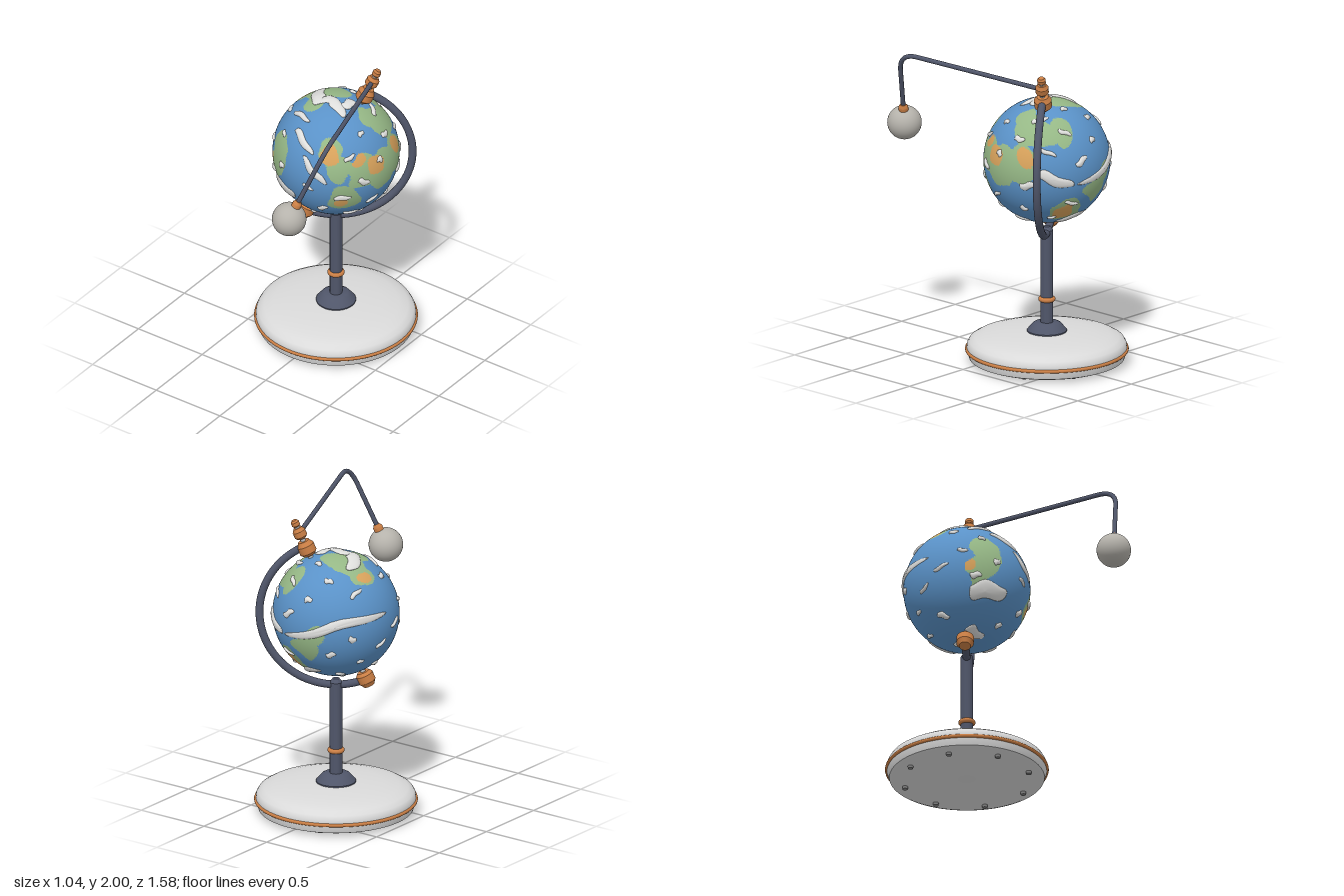
import * as THREE from 'three';
import { toCreasedNormals } from 'three/addons/utils/BufferGeometryUtils.js';

const mat = (name, color) => {
  const m = new THREE.MeshStandardMaterial({ color });
  m.name = name;
  return m;
};
const M = {
  ocean: mat('ocean blue', 0x5a92c8), land: mat('land green', 0x96b886), desert: mat('desert ochre', 0xd9a35c),
  cloud: mat('cloud white', 0xdededc), copper: mat('copper', 0xcb7f45), metal: mat('slate metal', 0x50566a),
  base: mat('base white', 0xdadada), moon: mat('moon grey', 0xb6b3ac), steel: mat('steel', 0xb9bcc0),
  foot: mat('foot grey', 0x808080),
};
const R = 0.405, CENTRE_Y = 1.345, CENTRE_Z = -0.265;
const V = (x = 0, y = 0, z = 0) => new THREE.Vector3(x, y, z);

function add(parent, name, geometry, material, x = 0, y = 0, z = 0) {
  const mesh = new THREE.Mesh(geometry, material);
  mesh.name = name;
  mesh.position.set(x, y, z);
  parent.add(mesh);
  return mesh;
}
const lathe = (points, segments = 48) => toCreasedNormals(
  new THREE.LatheGeometry(points.map(p => new THREE.Vector2(...p)), segments), 0.6);

// Turned knob with bevelled ends, centred on its own origin
const knob = (r, h) => lathe([[0, -h / 2], [r * 0.7, -h / 2], [r, -h * 0.3], [r, h * 0.2],
  [r * 0.72, h * 0.42], [r * 0.66, h / 2], [0, h / 2]], 28);

// Directions on the globe: [a, b] is an offset right and up on the disc facing outwards on one side
const S = Math.SQRT1_2;
const SIDES = {
  front: [V(1, 0, 0), V(0, 1, 0)],
  east: [V(0, 0, -1), V(0, 1, 0)],
  top: [V(1, 0, 0), V(0, 0, -1)],
  rear: [V(-S, 0, S), V(0.3, 0.906, 0.3)],
  under: [V(-S, 0, -S), V(0.3, 0.906, -0.3)],
};
function dir(side, a, b) {
  const [r, u] = SIDES[side];
  const c = r.clone().cross(u);
  return V().addScaledVector(r, a).addScaledVector(u, b)
    .addScaledVector(c, Math.sqrt(Math.max(0, 1 - a * a - b * b))).normalize();
}

// Round patches: side, a, b, angular radius
const LAND = [
  ['front', -0.52, 0.28, 0.28], ['front', -0.6, 0, 0.24], ['front', -0.62, -0.25, 0.13],
  ['front', 0.42, 0.55, 0.2], ['front', 0.62, 0.3, 0.22], ['front', 0.65, -0.3, 0.26],
  ['east', -0.45, 0.18, 0.3], ['east', -0.1, 0.08, 0.34], ['east', 0.35, 0.15, 0.32],
  ['east', 0.3, 0.7, 0.28], ['east', 0.05, 0.84, 0.16],
  ['top', -0.35, 0.1, 0.28], ['top', -0.08, 0.2, 0.2], ['top', -0.25, -0.2, 0.2], ['top', -0.6, 0.12, 0.2],
  ['top', 0.35, 0.65, 0.22], ['top', 0.6, 0.55, 0.18],
  ['rear', -0.6, -0.6, 0.22], ['under', 0.28, -0.28, 0.28], ['under', 0.88, 0.15, 0.16],
];
const DESERT = [
  ['front', -0.74, 0.02, 0.09], ['front', 0.42, 0.5, 0.14], ['east', -0.5, 0.37, 0.13], ['east', -0.24, 0.24, 0.15],
  ['east', 0.38, 0.28, 0.15], ['east', -0.72, -0.36, 0.11], ['top', -0.64, 0.13, 0.09], ['under', 0.24, -0.32, 0.18],
];
const patches = list => list.map(([s, a, b, r]) => [dir(s, a, b), r]);
const inside = (list, p, wobble) => list.some(([d, r]) => d.angleTo(p) < r + wobble);

// Globe sphere whose faces are sorted into ocean, land and desert groups
function globeGeometry() {
  const geo = new THREE.SphereGeometry(R, 224, 140);
  const pos = geo.attributes.position, index = geo.index.array;
  const land = patches(LAND), desert = patches(DESERT), sets = [[], [], []];
  const p = V(), q = V();
  for (let i = 0; i < index.length; i += 3) {
    p.set(0, 0, 0);
    for (let k = 0; k < 3; k++) p.add(q.fromBufferAttribute(pos, index[i + k]));
    p.normalize();
    const w = 0.035 * (Math.sin(13 * p.x + 5 * p.y) + Math.sin(15 * p.y - 6 * p.z) * Math.cos(14 * p.z + 4 * p.x));
    const kind = !inside(land, p, w) ? 0 : inside(desert, p, w) ? 2 : 1;
    sets[kind].push(index[i], index[i + 1], index[i + 2]);
  }
  geo.setIndex(sets.flat());
  let start = 0;
  sets.forEach((s, k) => { geo.addGroup(start, s.length, k); start += s.length; });
  return geo;
}

// Large clouds: side, half width, then spine points
const CLOUD_BANKS = [
  ['front', 0.045, [-0.49, 0.77], [-0.1, 0.82]], ['front', 0.06, [-0.27, 0.68], [0.18, 0.47]],
  ['front', 0.06, [0.02, 0.42], [0.25, 0.2], [0.46, 0.03]], ['front', 0.15, [-0.68, -0.42], [-0.14, -0.36]],
  ['front', 0.1, [-0.38, -0.87], [-0.03, -0.94]], ['east', 0.06, [0.3, -0.18], [0.54, -0.12]],
  ['top', 0.12, [-0.42, 0.26], [-0.3, -0.1], [-0.12, -0.2]], ['top', 0.1, [-0.22, -0.2], [0, -0.08], [0.34, -0.26]],
  ['top', 0.09, [0.27, 0.14], [0.18, -0.13]],
  ['rear', 0.08, [-0.88, -0.33], [-0.4, -0.38], [0.05, -0.27], [0.7, -0.1]],
  ['under', 0.09, [-0.18, 0.47], [0.4, 0.24]], ['under', 0.08, [0.12, -0.64], [0.32, -0.52], [0.58, -0.54]],
];

// Every cloud as a spine and half width: the large ones, then small streaks on a spiral over the free areas
function cloudSpines() {
  const spines = CLOUD_BANKS.map(([side, width, ...pts]) => ({ width, pts: pts.map(([a, b]) => dir(side, a, b)) }));
  const banks = spines.flatMap(s => new THREE.CatmullRomCurve3(s.pts).getPoints(6));
  const count = 60;
  for (let i = 0; i < count; i++) {
    const y = 1 - (2 * i + 1) / count, ring = Math.sqrt(1 - y * y), turn = i * 2.4;
    const p = V(ring * Math.cos(turn), y, ring * Math.sin(turn));
    if (banks.some(b => b.angleTo(p) < 0.24)) continue;
    const east = V(p.z, 0, -p.x).normalize(), north = p.clone().cross(east);
    const half = 0.1 + 0.04 * Math.sin(i * 5.3), tilt = 0.55 * Math.sin(i * 1.7);
    const step = east.multiplyScalar(half * Math.cos(tilt)).addScaledVector(north, half * Math.sin(tilt));
    spines.push({ width: 0.042 + 0.01 * Math.sin(i * 3.1), pts: [p.clone().sub(step), p.clone().add(step)] });
  }
  return spines;
}

// Flattened ellipsoid bent along a spine on the globe, with a wavy outline
function cloudGeometry({ width, pts }, seed) {
  const curve = new THREE.CatmullRomCurve3(pts);
  const geo = new THREE.SphereGeometry(1, 28, 10);
  const pos = geo.attributes.position, v = V();
  for (let i = 0; i < pos.count; i++) {
    v.fromBufferAttribute(pos, i);
    const t = THREE.MathUtils.clamp((v.x + 1) / 2, 0, 1);
    const p = curve.getPoint(t).normalize();
    const across = curve.getTangent(t).cross(p).normalize();
    const w = width * (1 + 0.3 * Math.sin(9 * t + seed * 2.1) * Math.sign(v.z));
    p.addScaledVector(across, v.z * w).normalize().multiplyScalar(R + 0.013 * v.y);
    pos.setXYZ(i, p.x, p.y, p.z);
  }
  geo.computeVertexNormals();
  return geo;
}

export function createModel() {
  const model = new THREE.Group();
  model.name = 'deskGlobe';
  const stand = new THREE.Group();
  stand.name = 'stand';
  stand.position.z = CENTRE_Z;
  model.add(stand);

  // Round base, trim and feet
  add(stand, 'base', lathe([[0, 0.018], [0.47, 0.018], [0.495, 0.028], [0.513, 0.085], [0.508, 0.12],
    [0.495, 0.142], [0.46, 0.162], [0.4, 0.178], [0.3, 0.192], [0.15, 0.202], [0, 0.204]], 96), M.base);
  add(stand, 'baseTrim', new THREE.TorusGeometry(0.51, 0.012, 12, 96).rotateX(Math.PI / 2), M.copper, 0, 0.085);
  for (let i = 0; i < 8; i++) {
    const a = (i + 0.5) * Math.PI / 4;
    add(stand, 'foot', new THREE.CylinderGeometry(0.019, 0.017, 0.03, 16), M.foot, 0.41 * Math.cos(a), 0.015, 0.41 * Math.sin(a));
  }

  // Post, flange and collar
  add(stand, 'flange', lathe([[0, 0.19], [0.127, 0.19], [0.127, 0.21], [0.092, 0.252], [0.075, 0.262], [0, 0.264]]), M.metal);
  add(stand, 'post', lathe([[0, 0.22], [0.04, 0.22], [0.04, 0.875], [0.022, 0.9], [0, 0.902]], 32), M.metal);
  add(stand, 'postCollar', new THREE.TorusGeometry(0.039, 0.016, 12, 40).rotateX(Math.PI / 2), M.copper, 0, 0.415);

  // Globe with clouds
  const globe = new THREE.Group();
  globe.name = 'globe';
  globe.position.y = CENTRE_Y;
  stand.add(globe);
  add(globe, 'globeSurface', globeGeometry(), [M.ocean, M.land, M.desert]);
  cloudSpines().forEach((c, i) => add(globe, 'cloud', cloudGeometry(c, i), M.cloud));

  // Tilted axis with its half-ring arm and knobs
  const axis = new THREE.Group();
  axis.name = 'tiltedAxis';
  axis.position.y = CENTRE_Y;
  axis.rotation.set(0, 0.617, -0.408);
  stand.add(axis);
  add(axis, 'ringArm', new THREE.TorusGeometry(0.488, 0.025, 14, 80, Math.PI).rotateZ(-Math.PI / 2), M.metal);
  add(axis, 'upperPin', new THREE.CylinderGeometry(0.017, 0.017, 0.28, 20), M.steel, 0, 0.52);
  add(axis, 'lowerPin', new THREE.CylinderGeometry(0.017, 0.017, 0.1, 20), M.steel, 0, -0.42);
  add(axis, 'upperKnob', knob(0.056, 0.1), M.copper, 0, 0.475);
  add(axis, 'lowerKnob', knob(0.056, 0.1), M.copper, 0, -0.484).rotation.x = Math.PI;
  add(axis, 'moonArmHub', knob(0.042, 0.075), M.copper, 0, 0.584);
  add(axis, 'topFinial', knob(0.027, 0.045), M.copper, 0, 0.654);

  // Bent moon arm, socket and moon
  const hub = V(0.19, 1.88, -0.4), corner = V(0.51, 2.0, 0.546), moon = V(0.315, 1.465, 0.682);
  const bendIn = corner.clone().lerp(hub, 0.13), bendOut = corner.clone().lerp(moon, 0.25);
  const path = new THREE.CurvePath();
  path.add(new THREE.LineCurve3(hub, bendIn));
  path.add(new THREE.QuadraticBezierCurve3(bendIn, corner, bendOut));
  path.add(new THREE.LineCurve3(bendOut, moon));
  add(model, 'moonArm', new THREE.TubeGeometry(path, 120, 0.015, 12), M.metal);
  const up = corner.clone().sub(moon).normalize();
  const socketAt = moon.clone().addScaledVector(up, 0.122);
  add(model, 'moonSocket', lathe([[0, -0.03], [0.031, -0.03], [0.031, 0.008], [0.018, 0.028], [0, 0.028]], 24),
    M.copper, ...socketAt.toArray()).quaternion.setFromUnitVectors(V(0, 1, 0), up);
  add(model, 'moon', new THREE.SphereGeometry(0.11, 40, 28), M.moon, ...moon.toArray());
  return model;
}
